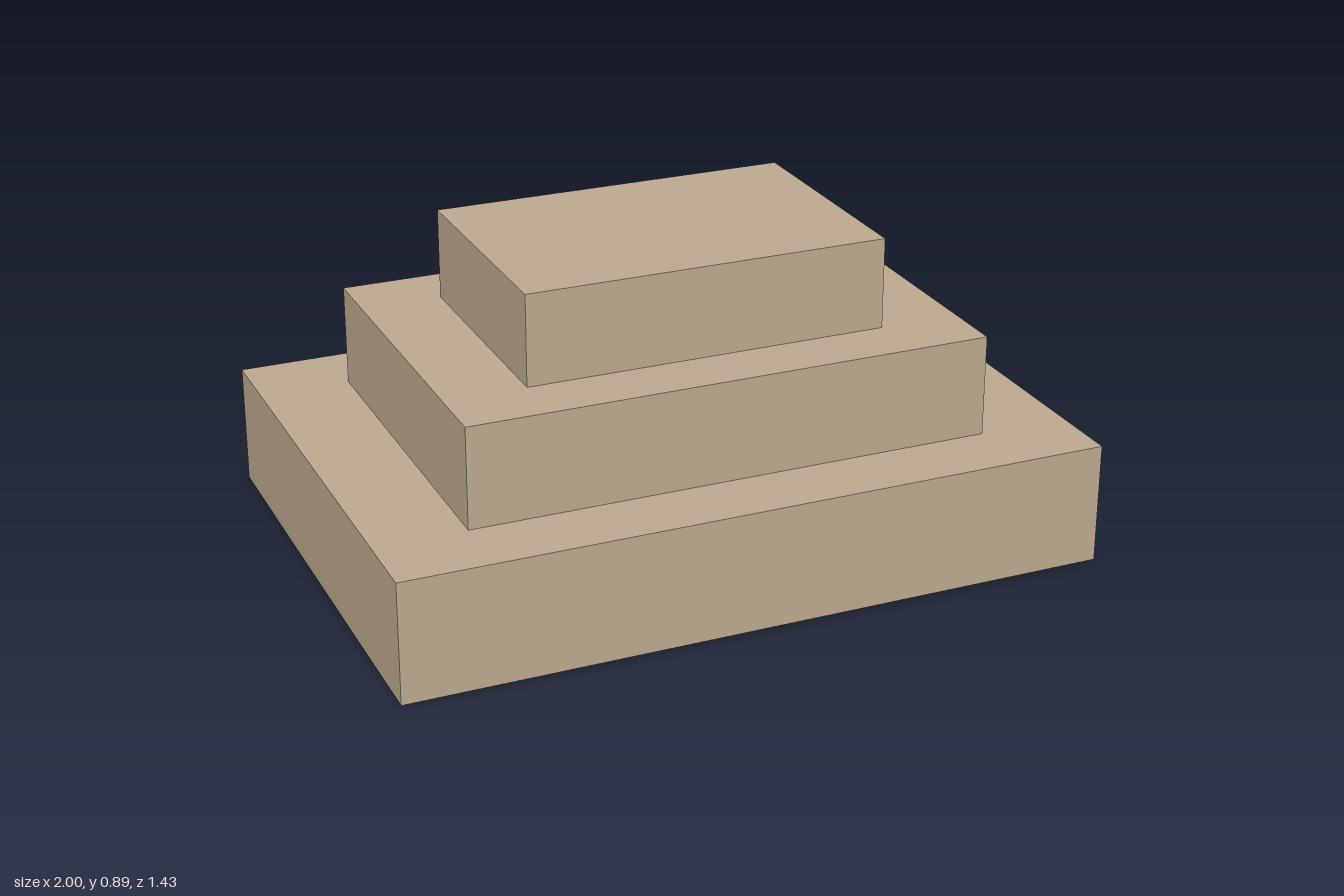
import * as THREE from 'three';

// Stepped plinth: three stacked, centred slabs
const TIERS = [
  { name: 'bottomStep', width: 2, depth: 1.428, bottom: 0, top: 0.343 },
  { name: 'middleStep', width: 1.486, depth: 1.028, bottom: 0.343, top: 0.629 },
  { name: 'topStep', width: 1.028, depth: 0.686, bottom: 0.629, top: 0.886 },
];

export function createModel() {
  const model = new THREE.Group();
  model.name = 'steppedPlinth';
  const stone = new THREE.MeshStandardMaterial({ color: 0xbca88e });

  for (const { name, width, depth, bottom, top } of TIERS) {
    const step = new THREE.Mesh(new THREE.BoxGeometry(width, top - bottom, depth), stone);
    step.name = name;
    step.position.y = (bottom + top) / 2;
    model.add(step);
  }
  return model;
}
